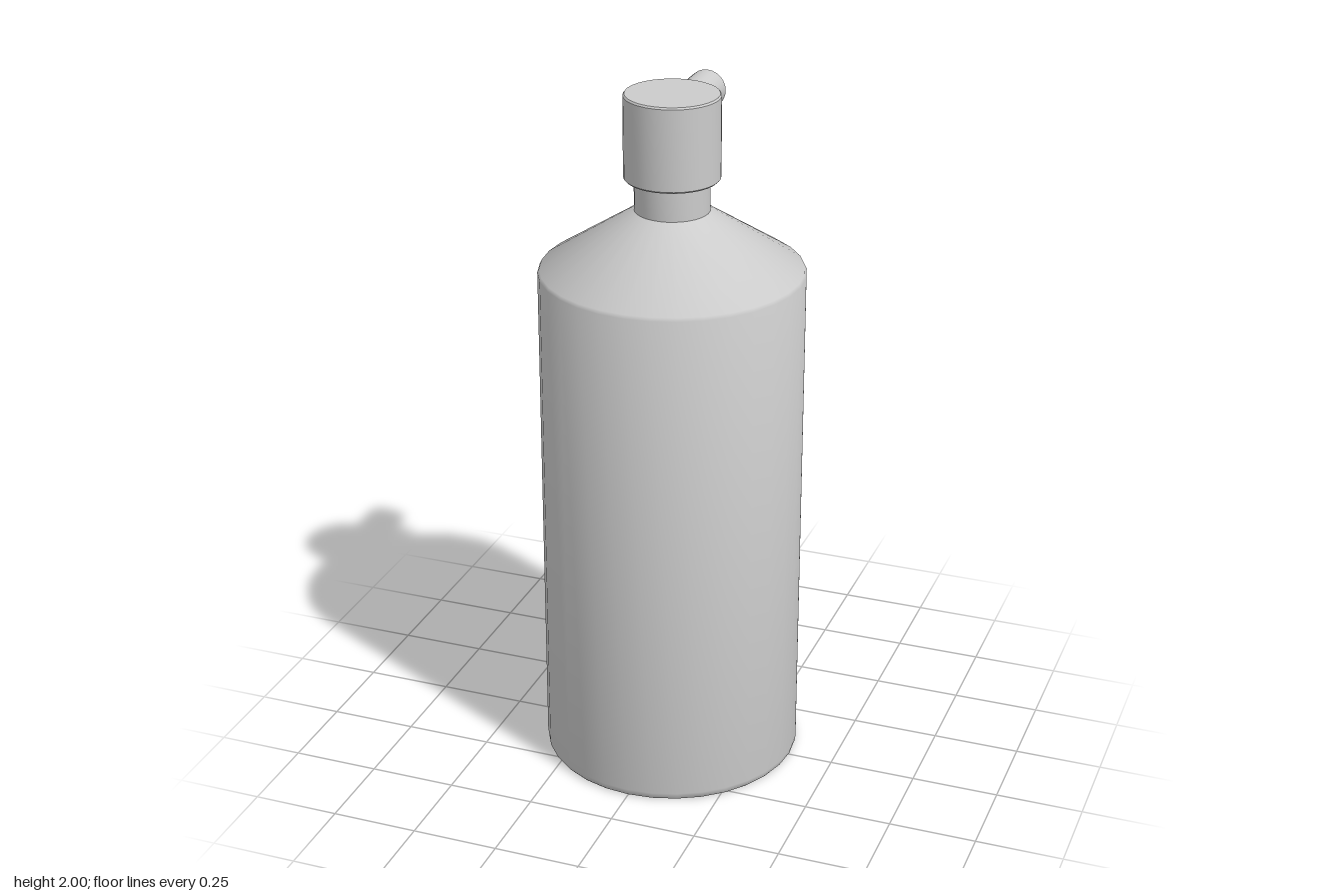
import * as THREE from 'three';
import { toCreasedNormals } from 'three/addons/utils/BufferGeometryUtils.js';

const material = new THREE.MeshStandardMaterial({ color: 0xcccccc });

function part(name, geometry) {
  const mesh = new THREE.Mesh(toCreasedNormals(geometry, 0.6), material);
  mesh.name = name;
  return mesh;
}

function lathe(profile, sides = 32) {
  return new THREE.LatheGeometry(profile.map(([r, y]) => new THREE.Vector2(r, y)), sides);
}

export function createModel() {
  const group = new THREE.Group();
  group.name = 'sprayBottle';

  // Bottle: softened base edge, straight wall, conical shoulder and neck
  group.add(part('bottle', lathe([
    [0, 0], [0.366, 0], [0.371, 0.006], [0.373, 0.02], [0.373, 1.49],
    [0.368, 1.5], [0.105, 1.67], [0.105, 1.78], [0, 1.78],
  ])));

  // Cap around the top of the neck
  group.add(part('cap', lathe([
    [0, 1.76], [0.129, 1.76], [0.134, 1.765], [0.134, 1.995], [0.13, 2], [0, 2],
  ])));

  // Nozzle pointing backwards, with a small recessed outlet
  const nozzle = part('nozzle', lathe([
    [0, 0.08], [0.055, 0.08], [0.055, 0.28], [0.02, 0.28], [0.02, 0.265], [0, 0.265],
  ], 24).rotateX(-Math.PI / 2));
  nozzle.position.y = 1.93;
  group.add(nozzle);

  // Curved trigger under the nozzle, drawn from the side and given width
  const outline = new THREE.Shape();
  outline.moveTo(0.12, 1.89);
  outline.quadraticCurveTo(0.165, 1.825, 0.238, 1.782);
  outline.lineTo(0.249, 1.778);
  outline.lineTo(0.245, 1.79);
  outline.quadraticCurveTo(0.2, 1.83, 0.16, 1.89);
  outline.closePath();
  const width = 0.06;
  const trigger = new THREE.ExtrudeGeometry(outline, { depth: width, bevelEnabled: false, curveSegments: 8 });
  group.add(part('trigger', trigger.translate(0, 0, -width / 2).rotateY(Math.PI / 2)));

  return group;
}
